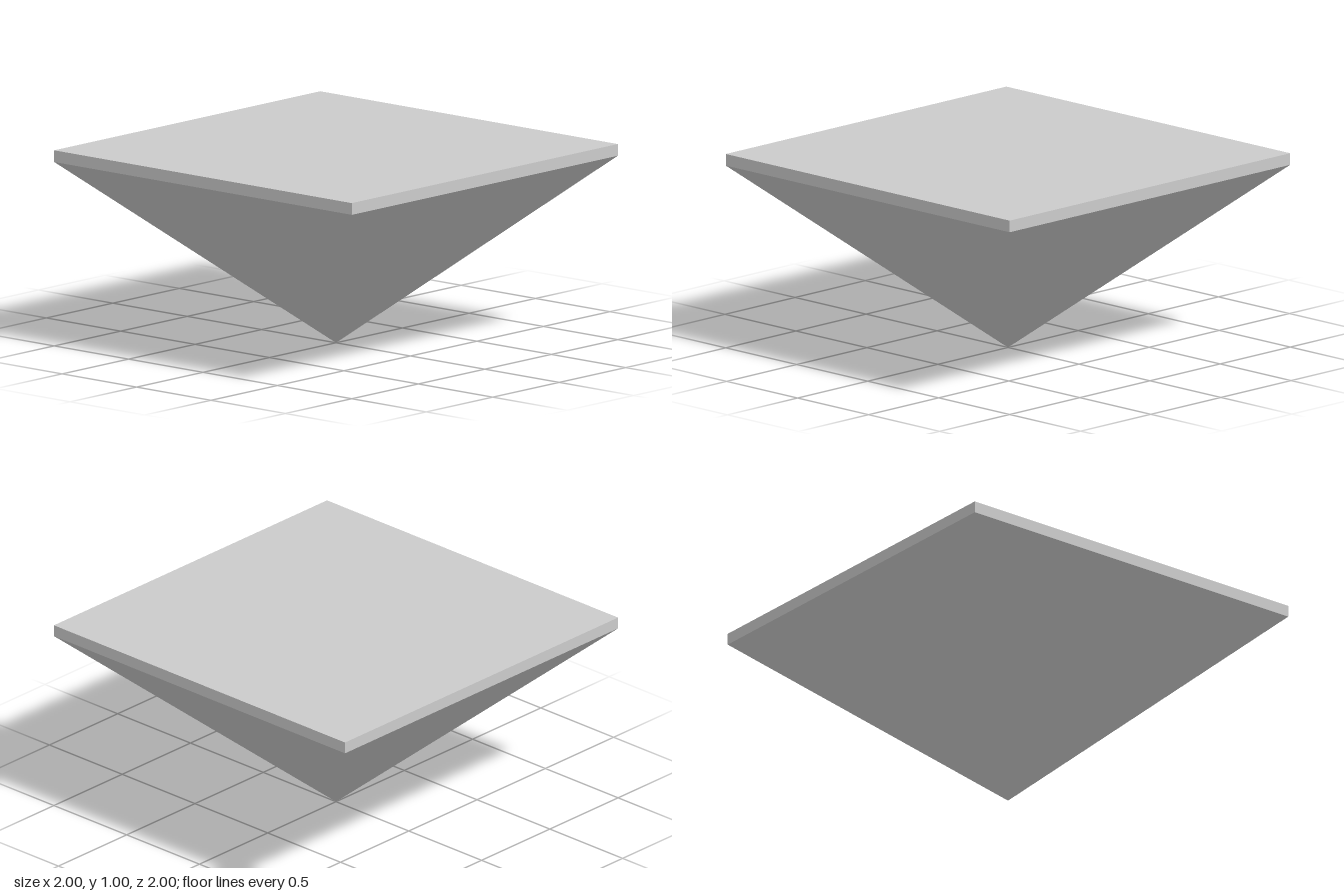
import * as THREE from 'three';

const SIDE = 2;
const SLAB = 0.06;
const DEPTH = 0.94;

export function createModel() {
  const model = new THREE.Group();
  model.name = 'invertedPyramid';
  const material = new THREE.MeshStandardMaterial({ color: 0xcccccc, flatShading: true });

  // Thin square slab on top
  const slab = new THREE.Mesh(new THREE.BoxGeometry(SIDE, SLAB, SIDE), material);
  slab.name = 'topSlab';
  slab.position.y = DEPTH + SLAB / 2;
  model.add(slab);

  // Four-sided pyramid pointing down, its open base closed by the slab
  const pyramidGeometry = new THREE.CylinderGeometry(SIDE / Math.SQRT2, 0, DEPTH, 4, 1, true);
  pyramidGeometry.rotateY(Math.PI / 4);
  const pyramid = new THREE.Mesh(pyramidGeometry, material);
  pyramid.name = 'lowerPyramid';
  pyramid.position.y = DEPTH / 2;
  model.add(pyramid);

  return model;
}
